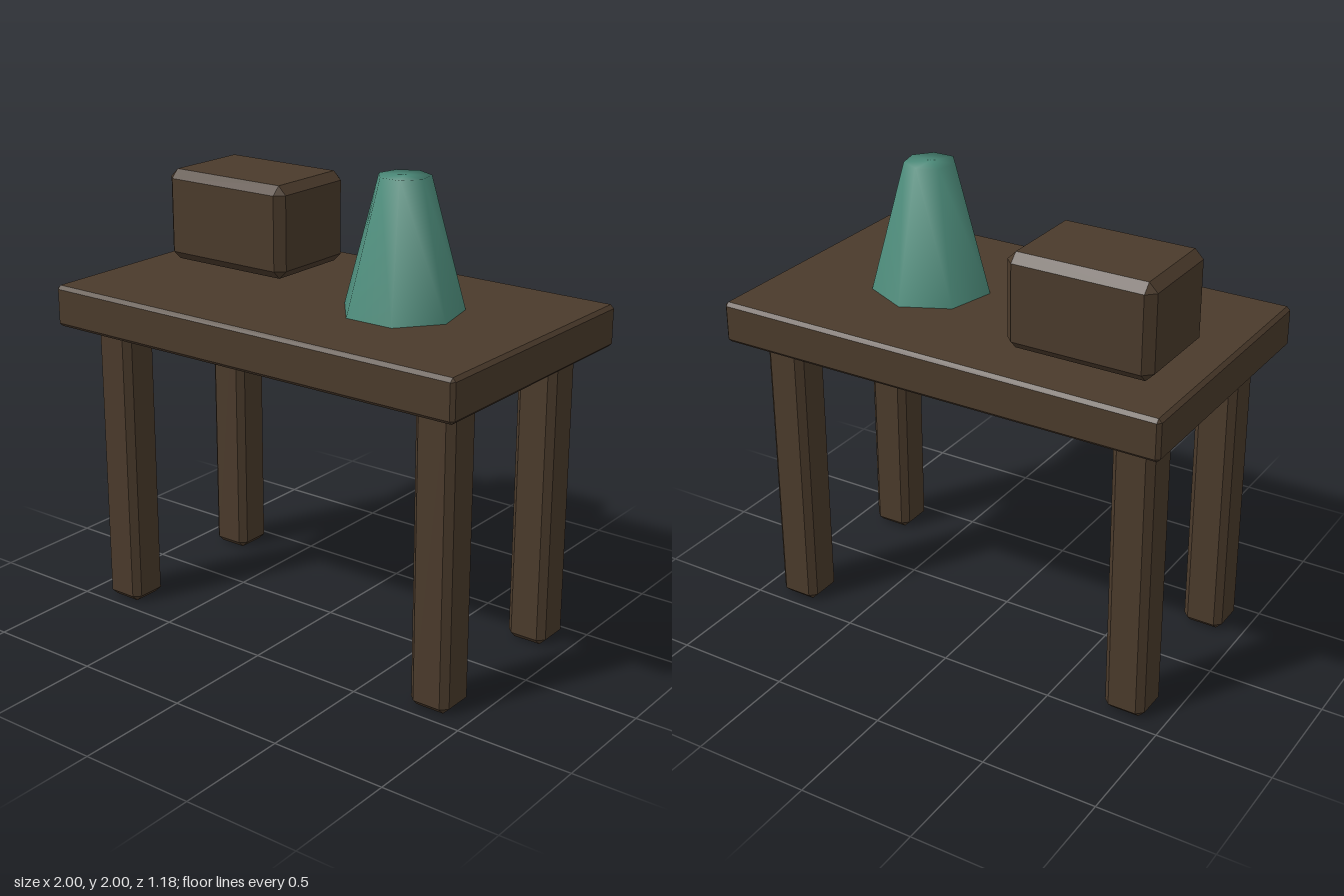
import * as THREE from 'three';
import { ConvexGeometry } from 'three/addons/geometries/ConvexGeometry.js';

const wood = new THREE.MeshStandardMaterial({ color: 0x4a3a2b });
const teal = new THREE.MeshStandardMaterial({ color: 0x4d8c7b, side: THREE.DoubleSide });

// Box between two corners with every edge chamfered by c
function chamferBox(name, [x0, y0, z0], [x1, y1, z1], c) {
  const half = [(x1 - x0) / 2, (y1 - y0) / 2, (z1 - z0) / 2];
  const points = [];
  for (const sx of [-1, 1]) for (const sy of [-1, 1]) for (const sz of [-1, 1]) {
    // each corner becomes three points, one on each neighbouring face
    for (let face = 0; face < 3; face++) {
      const h = half.map((v, i) => (i === face ? v : v - c));
      points.push(new THREE.Vector3(sx * h[0], sy * h[1], sz * h[2]));
    }
  }
  const mesh = new THREE.Mesh(new ConvexGeometry(points), wood);
  mesh.name = name;
  mesh.position.set((x0 + x1) / 2, (y0 + y1) / 2, (z0 + z1) / 2);
  return mesh;
}

export function createModel() {
  const model = new THREE.Group();
  model.name = 'table';

  // Table top and four legs
  model.add(chamferBox('tableTop', [-1, 1.275, -0.59], [1, 1.453, 0.59], 0.015));
  for (const [side, x] of [['left', 0.82], ['right', -0.82]]) {
    for (const [end, z] of [['Front', 0.365], ['Back', -0.365]]) {
      model.add(chamferBox(`${side}${end}Leg`, [x - 0.09, 0, z - 0.09], [x + 0.09, 1.36, z + 0.09], 0.028));
    }
  }

  // Box above the right-hand side
  model.add(chamferBox('box', [-0.863, 1.475, -0.41], [-0.23, 1.872, 0.04], 0.037));

  // Seven-sided tapered shade with a smooth closed top, open where it meets the table
  const profile = [[0.254, 1.45], [0.108, 2], [0, 2]].map(([r, y]) => new THREE.Vector2(r, y));
  const shade = new THREE.Mesh(new THREE.LatheGeometry(profile, 7, Math.PI), teal);
  shade.name = 'shade';
  shade.position.x = 0.362;
  model.add(shade);

  return model;
}
